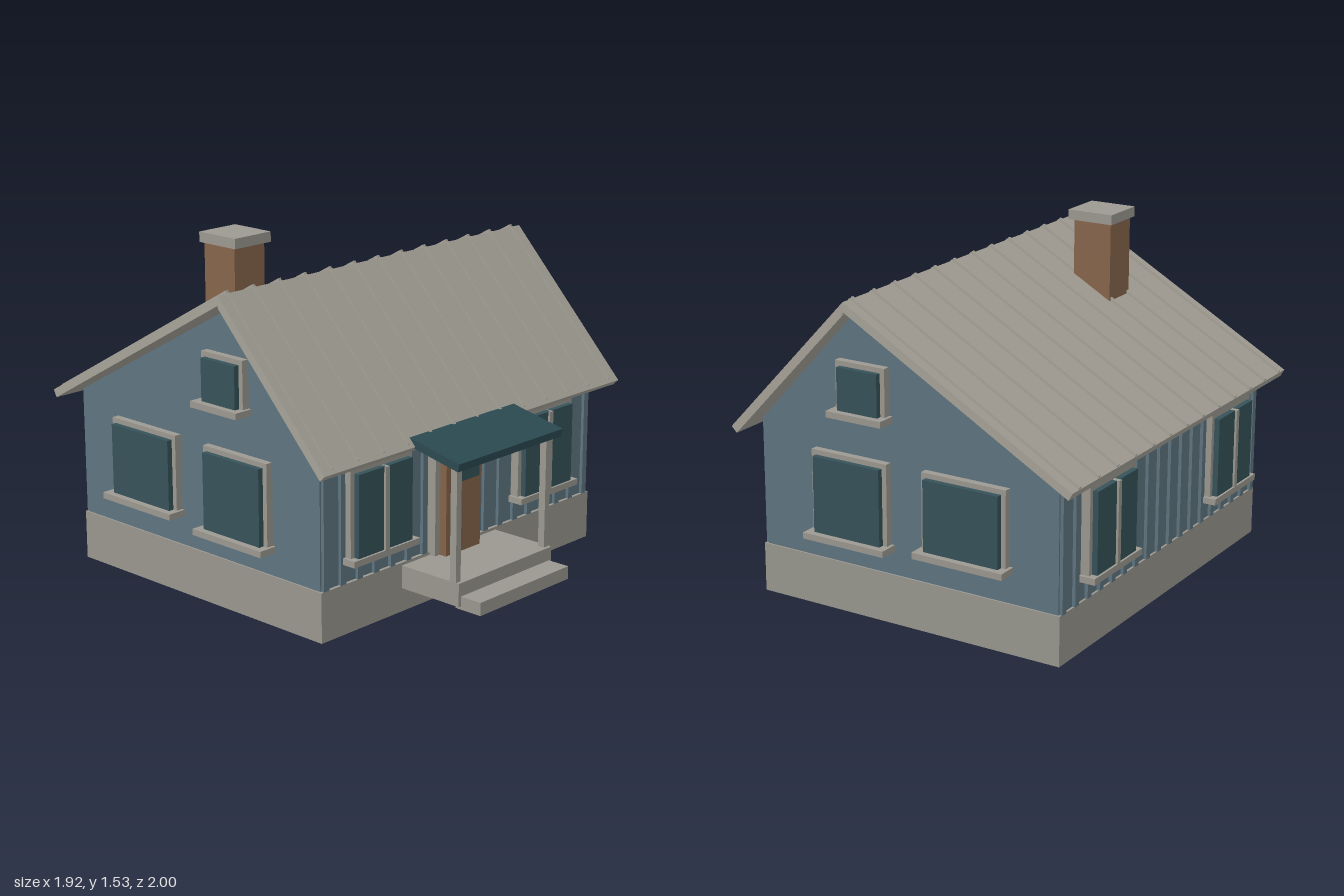
import * as THREE from 'three';

const mat = (name, color) => {
  const m = new THREE.MeshStandardMaterial({ color });
  m.name = name;
  return m;
};

export function createModel() {
  const house = new THREE.Group();
  house.name = 'house';
  const wall = mat('blue siding', 0x607580);
  const stone = mat('foundation grey', 0x9a9890);
  const roofing = mat('roof grey', 0xa9a59b);
  const trim = mat('trim grey', 0x9d9a92);
  const glass = mat('dark teal glass', 0x36535a);
  const awning = mat('canopy teal', 0x2c4a52);
  const wood = mat('door brown', 0x86644a);
  const brick = mat('chimney brown', 0x88664c);

  // Box given by its bounds
  function box(name, m, x0, x1, y0, y1, z0, z1, parent = house) {
    const mesh = new THREE.Mesh(new THREE.BoxGeometry(x1 - x0, y1 - y0, z1 - z0), m);
    mesh.position.set((x0 + x1) / 2, (y0 + y1) / 2, (z0 + z1) / 2);
    mesh.name = name;
    parent.add(mesh);
    return mesh;
  }

  // Side profile of [z, y] points extruded from x0 to x1
  function prism(name, m, points, x0, x1) {
    const shape = new THREE.Shape(points.map(([z, y]) => new THREE.Vector2(z, y)));
    const geo = new THREE.ExtrudeGeometry(shape, { depth: x1 - x0, bevelEnabled: false });
    geo.rotateY(-Math.PI / 2).translate(x1, 0, 0);
    const mesh = new THREE.Mesh(geo, m);
    mesh.name = name;
    house.add(mesh);
  }

  // Window built facing +z around u = 0, then turned onto its wall
  function windowUnit(name, width, y0, y1, mullion, position, turn) {
    const g = new THREE.Group();
    g.name = name;
    const w = width / 2, f = 0.022;
    box('windowJamb', trim, -w - f, -w, y0, y1 + f, -0.01, 0.03, g);
    box('windowJamb', trim, w, w + f, y0, y1 + f, -0.01, 0.03, g);
    box('windowHead', trim, -w, w, y1, y1 + f, -0.01, 0.03, g);
    box('windowPane', glass, -w, w, y0, y1, -0.01, 0.055, g);
    if (mullion) box('windowMullion', trim, -0.012, 0.012, y0, y1, 0, 0.065, g);
    box('windowSill', trim, -w - 0.037, w + 0.037, y0 - 0.028, y0, -0.01, mullion ? 0.065 : 0.085, g);
    g.position.copy(position);
    g.rotation.y = turn;
    house.add(g);
  }

  // Foundation and gabled body
  box('foundation', stone, -0.88, 0.88, 0, 0.22, -0.9, 0.58);
  prism('walls', wall,
    [[0.565, 0.22], [0.565, 0.8], [0.08, 1.33], [-0.89, 0.795], [-0.89, 0.22]], -0.872, 0.872);

  // Vertical battens on the long walls
  for (let i = 0; i < 18; i++) {
    const x = -0.85 + i * 0.1;
    box('frontBatten', wall, x - 0.015, x + 0.015, 0.22, 0.79, 0.56, 0.58);
    box('backBatten', wall, x - 0.015, x + 0.015, 0.22, 0.785, -0.905, -0.88);
  }

  // Roof slopes with standing seams
  const ridge = [0.08, 1.39];
  function slope(name, eave, rise, inset) {
    const dz = eave[0] - ridge[0], dy = eave[1] - ridge[1];
    const len = Math.hypot(dz, dy), s = Math.sign(dz);
    const n = [-dy * s / len, dz * s / len];
    const off = (p, d) => [p[0] + n[0] * d, p[1] + n[1] * d];
    const t = 0.037;
    const under = [ridge[0], ridge[1] - t / n[1]];
    prism(name, roofing, [ridge, eave, off(eave, -t), under], -0.957, 0.957);
    const end = [eave[0] - dz / len * inset, eave[1] - dy / len * inset];
    for (let i = 0; i < 13; i++) {
      const x = -0.9 + i * 0.15;
      prism(name + 'Seam', roofing, [off(ridge, rise), off(end, rise), end, ridge], x - 0.007, x + 0.007);
    }
  }
  slope('frontRoof', [0.677, 0.757], 0.005, 0.02);
  slope('backRoof', [-0.997, 0.785], 0.013, 0.002);

  // Chimney
  box('chimney', brick, -0.61, -0.435, 1.05, 1.49, -0.37, -0.185);
  box('chimneyCap', trim, -0.625, -0.415, 1.49, 1.535, -0.385, -0.165);

  // Front and back double windows
  for (const x of [-0.555, 0.515]) {
    windowUnit('frontWindow', 0.325, 0.337, 0.697, true, new THREE.Vector3(x, 0, 0.58), 0);
    windowUnit('backWindow', 0.325, 0.337, 0.697, true, new THREE.Vector3(x, 0, -0.9), Math.PI);
  }

  // Gable windows on both ends: centre z, width, bottom, top
  for (const side of [1, -1]) {
    for (const [z, w, y0, y1] of [
      [0.105, 0.335, 0.352, 0.69], [-0.46, 0.36, 0.38, 0.693], [0.04, 0.2, 0.914, 1.1],
    ]) {
      windowUnit('gableWindow', w, y0, y1, false,
        new THREE.Vector3(side * 0.875, 0, z), side * Math.PI / 2);
    }
  }

  // Front door
  box('doorJamb', trim, -0.22, -0.19, 0.205, 0.68, 0.56, 0.61);
  box('doorJamb', trim, 0.033, 0.063, 0.205, 0.68, 0.56, 0.61);
  box('doorHead', trim, -0.19, 0.033, 0.65, 0.68, 0.56, 0.61);
  box('door', wood, -0.19, 0.033, 0.205, 0.65, 0.56, 0.645);
  box('doorWindow', glass, -0.16, 0.003, 0.53, 0.615, 0.64, 0.663);

  // Porch, step, posts and canopy
  box('porch', stone, -0.395, 0.215, 0.105, 0.207, 0.57, 0.895);
  box('step', stone, -0.38, 0.2, 0.09, 0.148, 0.865, 1);
  for (const x of [-0.382, 0.197]) box('porchPost', trim, x - 0.015, x + 0.015, 0.207, 0.72, 0.847, 0.88);
  prism('canopy', awning, [[0.915, 0.735], [0.908, 0.7], [0.565, 0.772], [0.565, 0.808]], -0.425, 0.247);

  return house;
}
